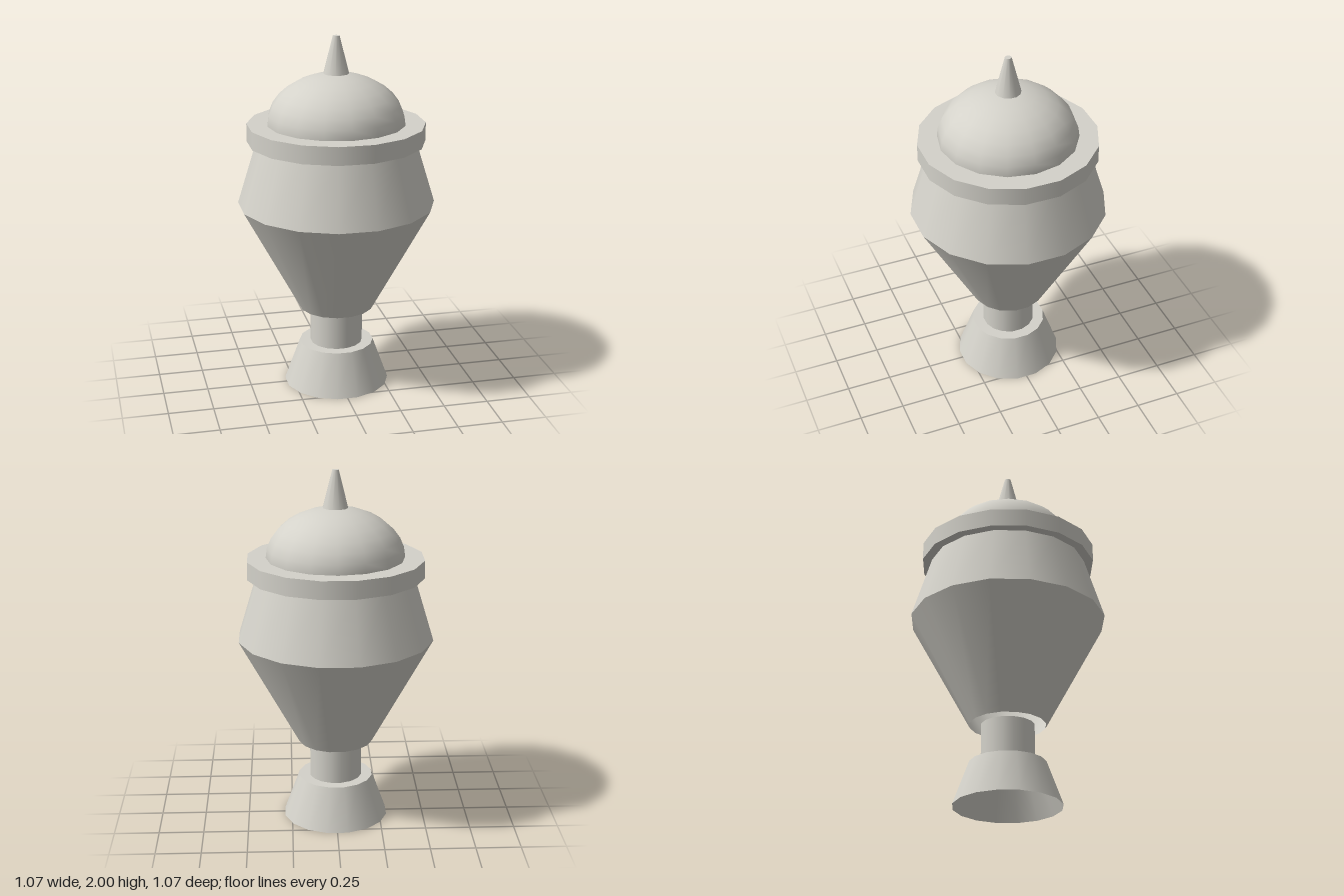
import * as THREE from 'three';

const stone = new THREE.MeshStandardMaterial({ color: 0xd4d2ca, side: THREE.DoubleSide });
stone.name = 'pale stone';

export function createModel() {
  const urn = new THREE.Group();
  urn.name = 'urn';

  const add = (name, geometry, y) => {
    const mesh = new THREE.Mesh(geometry, stone);
    mesh.name = name;
    mesh.position.y = y;
    urn.add(mesh);
  };

  // Faceted round section from y0 to y1, turned so a flat side faces front
  const section = (name, r0, r1, y0, y1, sides = 16, open = false) => add(
    name,
    new THREE.CylinderGeometry(r1, r0, y1 - y0, sides, 1, open, Math.PI / sides),
    (y0 + y1) / 2
  );

  // Hollow foot with a plate closing its top
  section('foot', 0.296, 0.209, 0, 0.24, 16, true);
  const plate = new THREE.CircleGeometry(0.209, 16, Math.PI / 16);
  plate.rotateX(-Math.PI / 2);
  add('footTop', plate, 0.24);

  section('stem', 0.147, 0.147, 0.24, 0.455);

  // Hollow bowl, widest at the waist
  section('lowerBowl', 0.209, 0.544, 0.455, 1.07, 16, true);
  section('upperBowl', 0.544, 0.437, 1.07, 1.42, 16, true);

  section('rim', 0.489, 0.489, 1.42, 1.52);

  // Flattened domed lid
  const dome = new THREE.SphereGeometry(0.38, 16, 8, 0, Math.PI * 2, 0, Math.PI / 2);
  dome.scale(1, 0.275 / 0.38, 1);
  add('lid', dome, 1.52);

  section('finial', 0.07, 0.018, 1.795, 2, 12);

  return urn;
}
